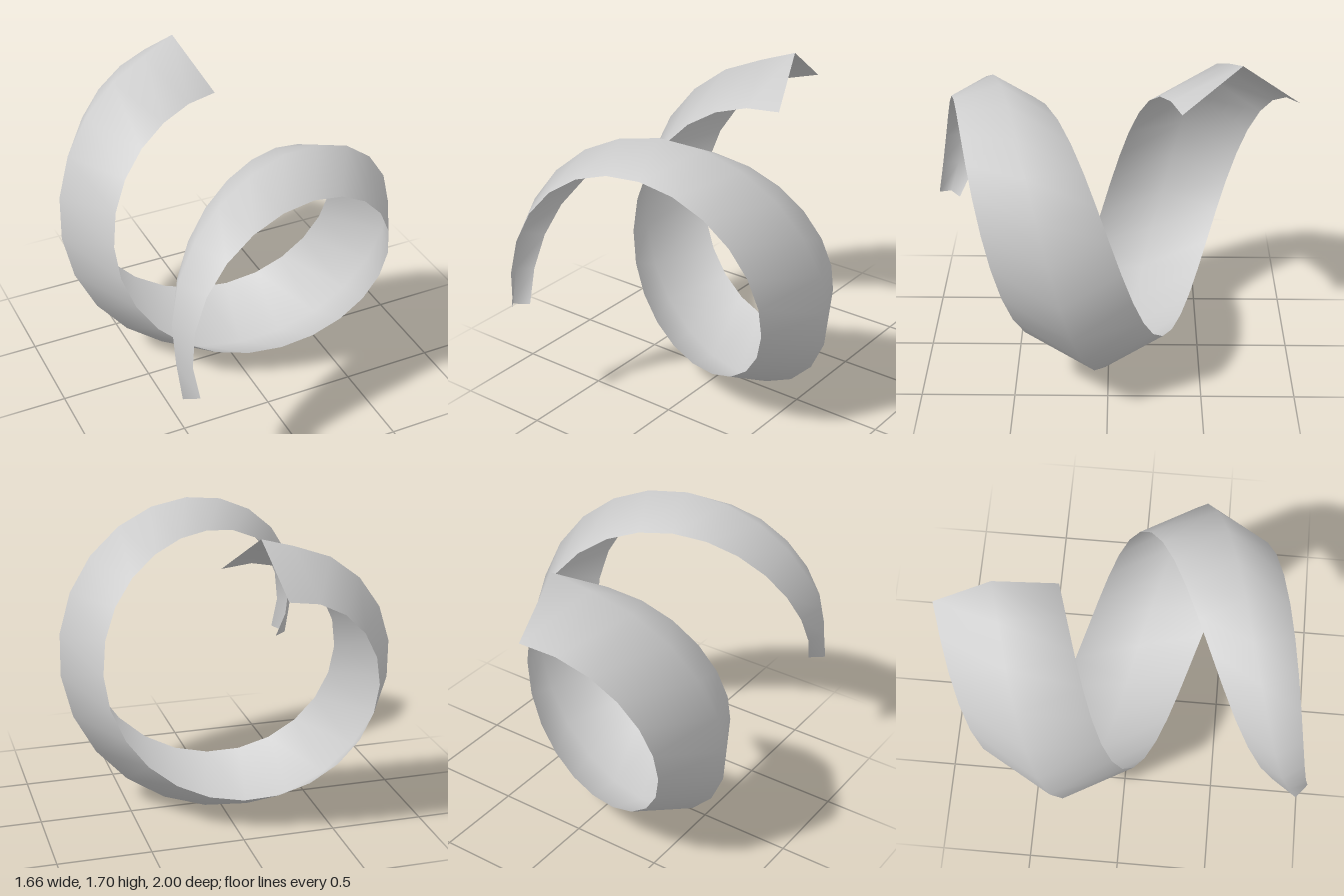
import * as THREE from 'three';

const STEPS = 30;
const EDGE_RADIUS = 0.647;
const CENTRE_Y = 0.829;

export function createModel() {
  const group = new THREE.Group();
  group.name = 'spiralRibbon';

  const positions = [];
  const index = [];
  for (let i = 0; i <= STEPS; i++) {
    const angle = THREE.MathUtils.degToRad(197.3 - 15.62 * i);
    const z = 0.94 - (1.63 * i) / STEPS;

    // the ribbon widens over the first half, then keeps its size
    const size = 0.035 + 0.15 * Math.sin((Math.PI / 2) * Math.min(1, i / 15));
    const halfWidth = size * Math.sqrt(3);
    const lean = (halfWidth * 0.24) / EDGE_RADIUS;

    // the ridge kicks outward at both open ends
    const isEnd = i === 0 || i === STEPS;
    const ridgeRadius = EDGE_RADIUS + size + (isEnd ? 0.037 : 0);
    const ridgeShift = i === STEPS ? 0.045 : i === 0 ? -0.014 : 0;

    // chevron section: back edge, ridge, front edge, square to the helix
    for (const side of [-1, 0, 1]) {
      const a = angle - side * lean + (side === 0 ? ridgeShift : 0);
      const r = side === 0 ? ridgeRadius : EDGE_RADIUS;
      positions.push(r * Math.cos(a), CENTRE_Y + r * Math.sin(a), z + side * halfWidth * 0.97);
    }

    if (i < STEPS) {
      for (let k = 0; k < 2; k++) {
        const p = i * 3 + k;
        const q = p + 3;
        index.push(p, p + 1, q, p + 1, q + 1, q);
      }
    }
  }

  const geometry = new THREE.BufferGeometry();
  geometry.setAttribute('position', new THREE.Float32BufferAttribute(positions, 3));
  geometry.setIndex(index);
  geometry.computeVertexNormals();

  const ribbon = new THREE.Mesh(
    geometry,
    new THREE.MeshStandardMaterial({ color: 0xcccccc, side: THREE.DoubleSide })
  );
  ribbon.name = 'ribbon';
  group.add(ribbon);
  return group;
}
